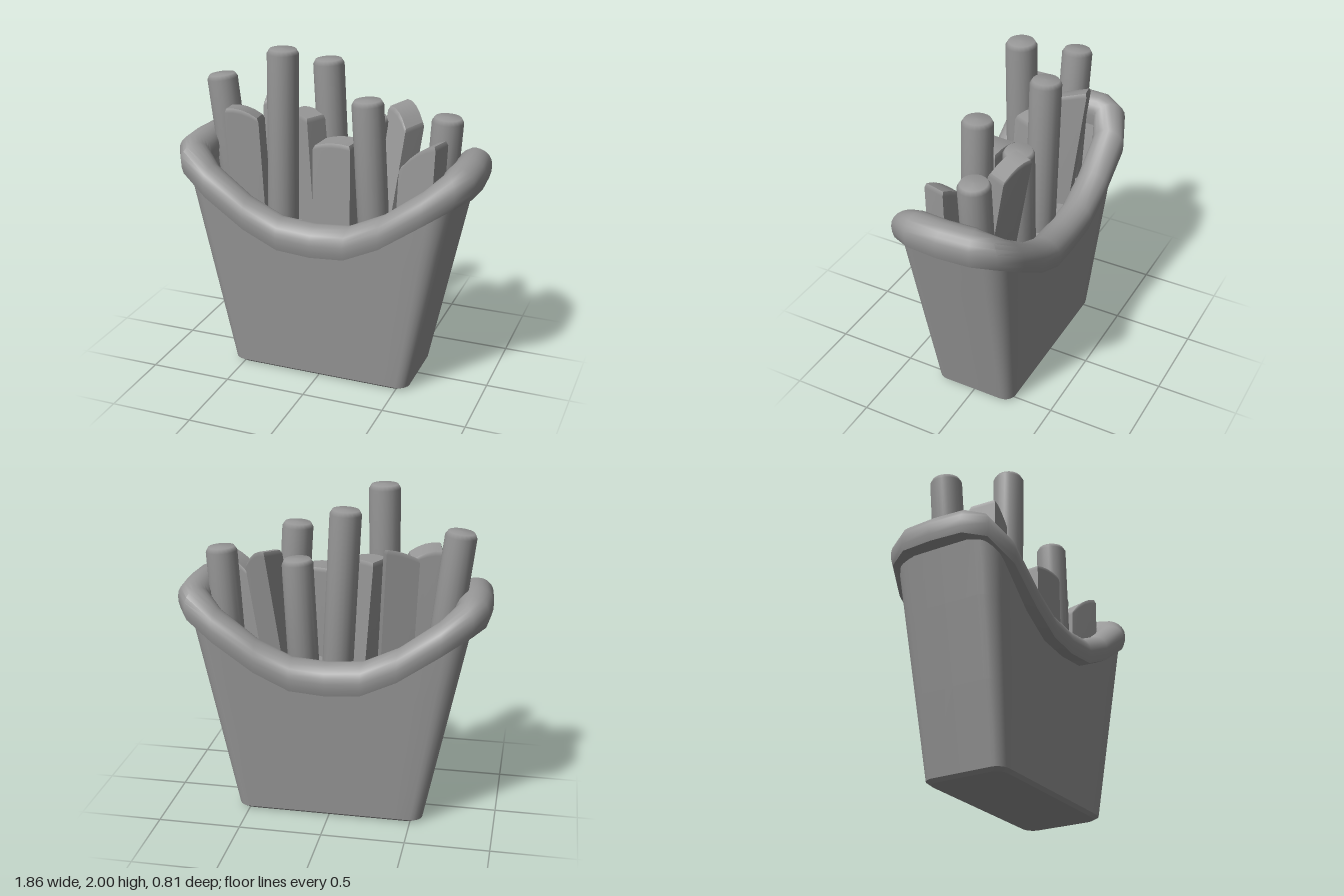
import * as THREE from 'three';
import { toCreasedNormals } from 'three/addons/utils/BufferGeometryUtils.js';

const lerp = THREE.MathUtils.lerp;
const FLOOR = 0.93;

// Quarter of the rim centre line, from the side to the front middle: x, z, top height
const RIM = [
  [0.83, 0, 1.44], [0.818, 0.18, 1.44], [0.78, 0.25, 1.415], [0.65, 0.303, 1.31],
  [0.42, 0.303, 1.14], [0.21, 0.3, 1.04], [0, 0.295, 1.022],
];

// Mirrors a quarter loop into the full closed loop (+x towards +z)
function fullLoop(q) {
  const fwd = q.slice(0, -1), back = q.slice(1).reverse();
  const flip = (pts, sx, sz) => pts.map(([x, z, y]) => [x * sx, z * sz, y]);
  return [...fwd, ...flip(back, -1, 1), ...flip(fwd, -1, -1), ...flip(back, 1, -1)];
}

// Skins a list of closed rings of [x, z, y] points
function loft(rings, crease) {
  const n = rings[0].length, pos = [], idx = [];
  rings.forEach(r => r.forEach(([x, z, y]) => pos.push(x, y, z)));
  for (let i = 0; i < rings.length - 1; i++) {
    for (let j = 0; j < n; j++) {
      const a = i * n + j, c = i * n + (j + 1) % n;
      idx.push(a, a + n, c, c, a + n, c + n);
    }
  }
  const g = new THREE.BufferGeometry();
  g.setAttribute('position', new THREE.Float32BufferAttribute(pos, 3));
  g.setIndex(idx);
  return toCreasedNormals(g, crease);
}

// Top height of the rim at a given x
function rimHeight(x) {
  for (let i = RIM.length - 1; i > 0; i--) {
    const a = RIM[i], b = RIM[i - 1];
    if (x <= b[0]) return lerp(a[2], b[2], (x - a[0]) / (b[0] - a[0]));
  }
  return RIM[0][2];
}

// Quarter of the carton's rounded rectangle at height y
function cartonQuarter(y, inset = 0) {
  const hx = 0.566 + 0.205 * y - inset, hz = 0.258 + 0.067 * y - inset;
  const r = 0.07 + 0.04 * y, pts = [[hx, 0, y]];
  for (let k = 0; k <= 5; k++) {
    const a = k / 5 * Math.PI / 2;
    pts.push([hx - r + r * Math.cos(a), hz - r + r * Math.sin(a), y]);
  }
  for (let k = 4; k >= 0; k--) pts.push([(hx - r) * k / 5, hz, y]);
  return pts;
}

function cartonGeometry() {
  const base = fullLoop(cartonQuarter(0, 0.02));
  const rings = [base.map(() => [0, 0, 0]), base];
  const ref = cartonQuarter(1.2);
  for (const t of [0, 0.35, 0.7, 1]) {
    rings.push(fullLoop(ref.map((p, j) =>
      cartonQuarter(lerp(0.018, rimHeight(p[0]) - 0.1, t))[j])));
  }
  return loft(rings, 0.5);
}

// Rolled rim: a domed section, tucked in below with a flat underside, swept around the loop
function rimGeometry() {
  const line = fullLoop(RIM), n = line.length;
  const section = [[0.02, -0.18], [0.086, -0.178], [0.097, -0.14]];
  for (let k = 0; k <= 10; k++) {
    const a = k / 10 * Math.PI;
    section.push([0.1 * Math.cos(a), -0.1 + 0.1 * Math.sin(a)]);
  }
  section.push([-0.09, -0.175], [0.02, -0.18]);
  const normals = line.map((p, j) => {
    const a = line[(j + n - 1) % n], b = line[(j + 1) % n];
    return new THREE.Vector2(b[1] - a[1], a[0] - b[0]).normalize();
  });
  return loft(section.map(([o, h]) =>
    line.map(([x, z, y], j) => [x + normals[j].x * o, z + normals[j].y * o, y + h])), 0.9);
}

// Round fry from its base to its top, with a softened end
function roundFryGeometry(base, top) {
  const dir = top.clone().sub(base), L = dir.length(), r = 0.093;
  const prof = [[0, 0], [r, 0], [r, L - 0.03], [r * 0.84, L - 0.004], [0, L]]
    .map(p => new THREE.Vector2(...p));
  const g = new THREE.LatheGeometry(prof, 20);
  g.applyQuaternion(new THREE.Quaternion().setFromUnitVectors(new THREE.Vector3(0, 1, 0), dir.normalize()));
  return g.translate(base.x, base.y, base.z);
}

// Square-cut fry with a sloped, slightly bowed and chamfered end
function cutFryGeometry(base, top, w, d, turn, slopeX, slopeZ, bow) {
  const g = new THREE.BoxGeometry(w, 1, d, 4, 2, 2), p = g.attributes.position;
  const c = Math.cos(turn), s = Math.sin(turn), L = top.y - base.y;
  for (let i = 0; i < p.count; i++) {
    let x = p.getX(i), z = p.getZ(i);
    const level = Math.round((p.getY(i) + 0.5) * 2);
    let y = 0;
    if (level > 0) y = L + slopeX * x + slopeZ * z - bow * x * x - (level === 1 ? 0.025 : 0);
    if (level === 2) { x *= 0.9; z *= 0.9; }
    const t = y / L;
    p.setXYZ(i, lerp(base.x, top.x, t) + c * x + s * z, base.y + y, lerp(base.z, top.z, t) - s * x + c * z);
  }
  g.computeVertexNormals();
  return g;
}

export function createModel() {
  const group = new THREE.Group();
  const color = 0x979797;
  const solid = new THREE.MeshStandardMaterial({ color });
  const twoSided = new THREE.MeshStandardMaterial({ color, side: THREE.DoubleSide });
  const add = (name, geometry, material = solid) => {
    const m = new THREE.Mesh(geometry, material);
    m.name = name;
    group.add(m);
  };

  // Carton
  add('carton', cartonGeometry(), twoSided);
  add('rolledRim', rimGeometry());
  const edge = fullLoop(cartonQuarter(FLOOR));
  add('innerFloor', loft([edge, edge.map(() => [0, 0, FLOOR])], 0.5));

  // Round fries: base x, z, then top x, z, height
  [
    [-0.63, -0.035, -0.732, -0.037, 1.775],
    [-0.28, 0.105, -0.266, 0.107, 2.0],
    [-0.035, -0.145, -0.083, -0.145, 1.9],
    [0.3, 0.105, 0.252, 0.11, 1.75],
    [0.625, -0.105, 0.67, -0.1, 1.635],
    [0.175, -0.12, 0.208, -0.125, 1.59],
  ].forEach(([bx, bz, tx, tz, ty], i) => add('roundFry' + (i + 1),
    roundFryGeometry(new THREE.Vector3(bx, FLOOR - 0.01, bz), new THREE.Vector3(tx, ty, tz))));

  // Cut fries: base x, z, top x, z, height, width, depth, turn, slopes, bow
  [
    [-0.48, 0.11, -0.515, 0.12, 1.62, 0.2, 0.16, 0.2, -0.25, 0.1, 2],
    [-0.37, -0.1, -0.41, -0.18, 1.67, 0.19, 0.16, 0.25, 0.3, -0.25, 1],
    [-0.14, -0.02, -0.19, -0.04, 1.595, 0.2, 0.16, -0.45, -0.05, 0, 1],
    [0.07, 0.115, 0.07, 0.11, 1.49, 0.24, 0.17, -0.07, 0.1, 0, 1],
    [0.335, -0.035, 0.4, -0.18, 1.63, 0.17, 0.15, -0.5, -0.6, -0.1, 4],
    [0.57, 0.11, 0.59, 0.105, 1.49, 0.23, 0.14, -0.25, 0.7, 0, 2],
  ].forEach(([bx, bz, tx, tz, ty, ...shape], i) => add('cutFry' + (i + 1),
    cutFryGeometry(new THREE.Vector3(bx, FLOOR - 0.01, bz), new THREE.Vector3(tx, ty, tz), ...shape)));

  return group;
}
